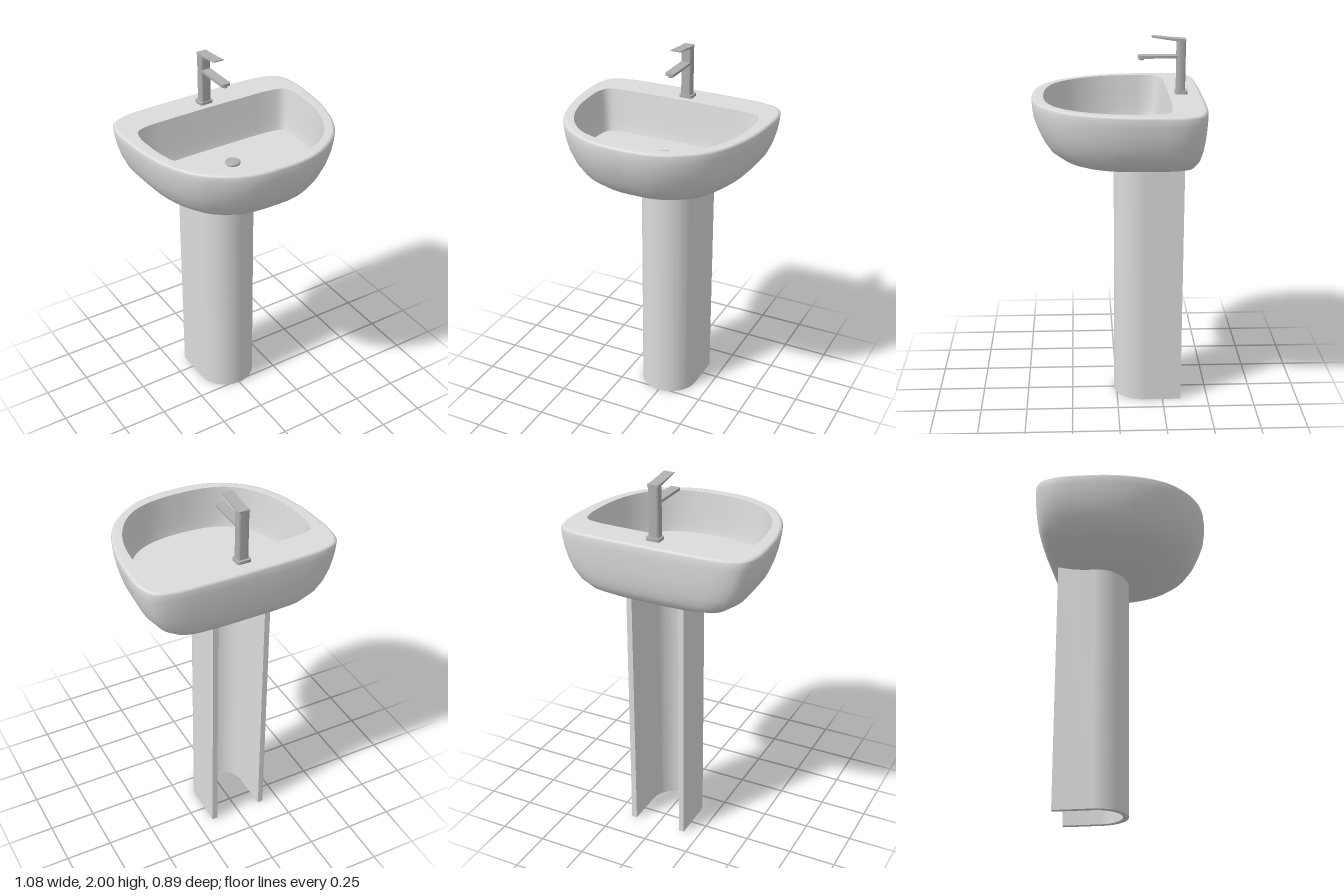
import * as THREE from 'three';
import { toCreasedNormals } from 'three/addons/utils/BufferGeometryUtils.js';

const ceramic = new THREE.MeshStandardMaterial({ color: 0xdcdcdc });
ceramic.name = 'ceramic';
const metal = new THREE.MeshStandardMaterial({ color: 0xb0b0b0 });
metal.name = 'metal';

// Half outlines (x, z) from the middle of the back round to the middle of the front
const OUTER = [[0, -.445], [.25, -.443], [.42, -.43], [.5, -.395], [.535, -.31], [.535, -.15], [.518, 0],
  [.475, .15], [.4, .28], [.3, .365], [.2, .415], [.1, .437], [0, .44]];
const INNER = [[0, -.27], [.22, -.268], [.38, -.26], [.44, -.24], [.463, -.18], [.465, -.1], [.452, .03],
  [.415, .15], [.35, .255], [.27, .325], [.185, .36], [.095, .376], [0, .38]];
const N = 96;

// Closed smooth outline, mirrored across x
function outline(half) {
  const mirrored = half.slice(1, -1).reverse().map(([x, z]) => [-x, z]);
  const pts = [...half, ...mirrored].map(([x, z]) => new THREE.Vector3(x, 0, z));
  const curve = new THREE.CatmullRomCurve3(pts, true);
  return Array.from({ length: N }, (_, i) => curve.getPoint(i / N));
}

// Ring at height y fitted to a half width, front z and back z
function ring(base, y, halfWidth, front, back) {
  const [w, f, b] = base === outer ? [.535, .44, .445] : [.465, .38, .27];
  return base.map(p => [p.x * halfWidth / w, y, p.z > 0 ? p.z * front / f : p.z * -back / b]);
}

function loft(rings) {
  const index = [];
  for (let r = 0; r < rings.length - 1; r++) {
    for (let j = 0; j < N; j++) {
      const a = r * N + j, b = r * N + (j + 1) % N;
      index.push(a, b, a + N, b, b + N, a + N);
    }
  }
  const geo = new THREE.BufferGeometry();
  geo.setAttribute('position', new THREE.Float32BufferAttribute(rings.flat(2), 3));
  geo.setIndex(index);
  geo.computeVertexNormals();
  return geo;
}

const outer = outline(OUTER);
const inner = outline(INNER);

function add(group, name, geo, material) {
  const mesh = new THREE.Mesh(geo, material);
  mesh.name = name;
  group.add(mesh);
  return mesh;
}

function extrude(shape, depth) {
  return new THREE.ExtrudeGeometry(shape, { depth, bevelEnabled: false, curveSegments: 24 });
}

// Upright slab with rounded corners in plan
function slab(width, length, radius, y0, y1, z) {
  const w = width / 2 - radius, l = length / 2 - radius;
  const s = new THREE.Shape();
  s.absarc(w, l, radius, 0, Math.PI / 2);
  s.absarc(-w, l, radius, Math.PI / 2, Math.PI);
  s.absarc(-w, -l, radius, Math.PI, Math.PI * 1.5);
  s.absarc(w, -l, radius, Math.PI * 1.5, Math.PI * 2);
  const geo = extrude(s, y1 - y0).rotateX(-Math.PI / 2).translate(0, y0, z);
  return toCreasedNormals(geo, .7);
}

function createBasin() {
  const g = new THREE.Group();
  g.name = 'basin';
  // Flat rim, rounded outer edge and bowl underside: y, half width, front, back
  const shell = [
    [1.7, .518, .425, -.428], [1.698, .528, .434, -.438], [1.688, .535, .44, -.445],
    [1.65, .531, .438, -.445], [1.6, .522, .431, -.443], [1.54, .505, .41, -.438],
    [1.48, .478, .382, -.43], [1.43, .44, .348, -.418], [1.39, .385, .295, -.398],
    [1.36, .29, .235, -.355], [1.34, .21, .185, -.27], [1.32, .1, .09, -.15], [1.312, 0, 0, 0],
  ].map(r => ring(outer, ...r));
  add(g, 'rimAndShell', loft([
    ring(inner, 1.7, .465, .38, -.27), ring(inner, 1.7, .47, .385, -.275), ...shell,
  ]), ceramic);
  add(g, 'bowlWall', loft([
    ring(inner, 1.47, .435, .355, -.235), ring(inner, 1.51, .445, .364, -.245),
    ring(inner, 1.6, .454, .372, -.257), ring(inner, 1.7, .465, .38, -.27),
  ]), ceramic);
  add(g, 'bowlFloor', loft([
    ring(inner, 1.47, 0, 0, 0), ring(inner, 1.47, .435, .355, -.235),
  ]), ceramic);
  return g;
}

// Half-round column, hollow and open at the back
function createPedestal() {
  const R = .162, r = .132, c = .147, back = .35;
  const s = new THREE.Shape();
  s.moveTo(R, back);
  s.lineTo(r, back);
  s.lineTo(r, c);
  s.absarc(0, c, r, 0, -Math.PI, true);
  s.lineTo(-r, back);
  s.lineTo(-R, back);
  s.lineTo(-R, c);
  s.absarc(0, c, R, Math.PI, Math.PI * 2, false);
  s.lineTo(R, back);
  return toCreasedNormals(extrude(s, 1.39).rotateX(-Math.PI / 2), .6);
}

function createTap() {
  const g = new THREE.Group();
  g.name = 'tap';
  add(g, 'tapBase', slab(.076, .064, .012, 1.695, 1.716, -.336), metal);
  add(g, 'tapBody', slab(.058, .046, .01, 1.71, 1.98, -.332), metal);
  add(g, 'spout', slab(.052, .215, .01, 1.886, 1.9, -.2175), metal);
  add(g, 'spoutOutlet', new THREE.CylinderGeometry(.014, .014, .012, 24).translate(0, 1.882, -.127), metal);
  // Lever: thin wedge rising towards the front
  const s = new THREE.Shape([[-.355, 1.975], [-.305, 1.975], [-.18, 1.995], [-.18, 2], [-.305, 1.987], [-.355, 1.985]]
    .map(p => new THREE.Vector2(...p)));
  add(g, 'lever', extrude(s, .056).rotateY(-Math.PI / 2).translate(.028, 0, 0), metal);
  return g;
}

export function createModel() {
  const model = new THREE.Group();
  model.name = 'pedestalWashbasin';
  model.add(createBasin(), createTap());
  add(model, 'pedestal', createPedestal(), ceramic);
  // Drain plug with a softened edge
  const profile = [[0, 0], [.036, 0], [.04, .005], [.04, .012], [.036, .016], [0, .017]];
  const drain = new THREE.LatheGeometry(profile.map(p => new THREE.Vector2(...p)), 32);
  add(model, 'drainPlug', toCreasedNormals(drain, .6), metal).position.set(0, 1.469, -.05);
  return model;
}
